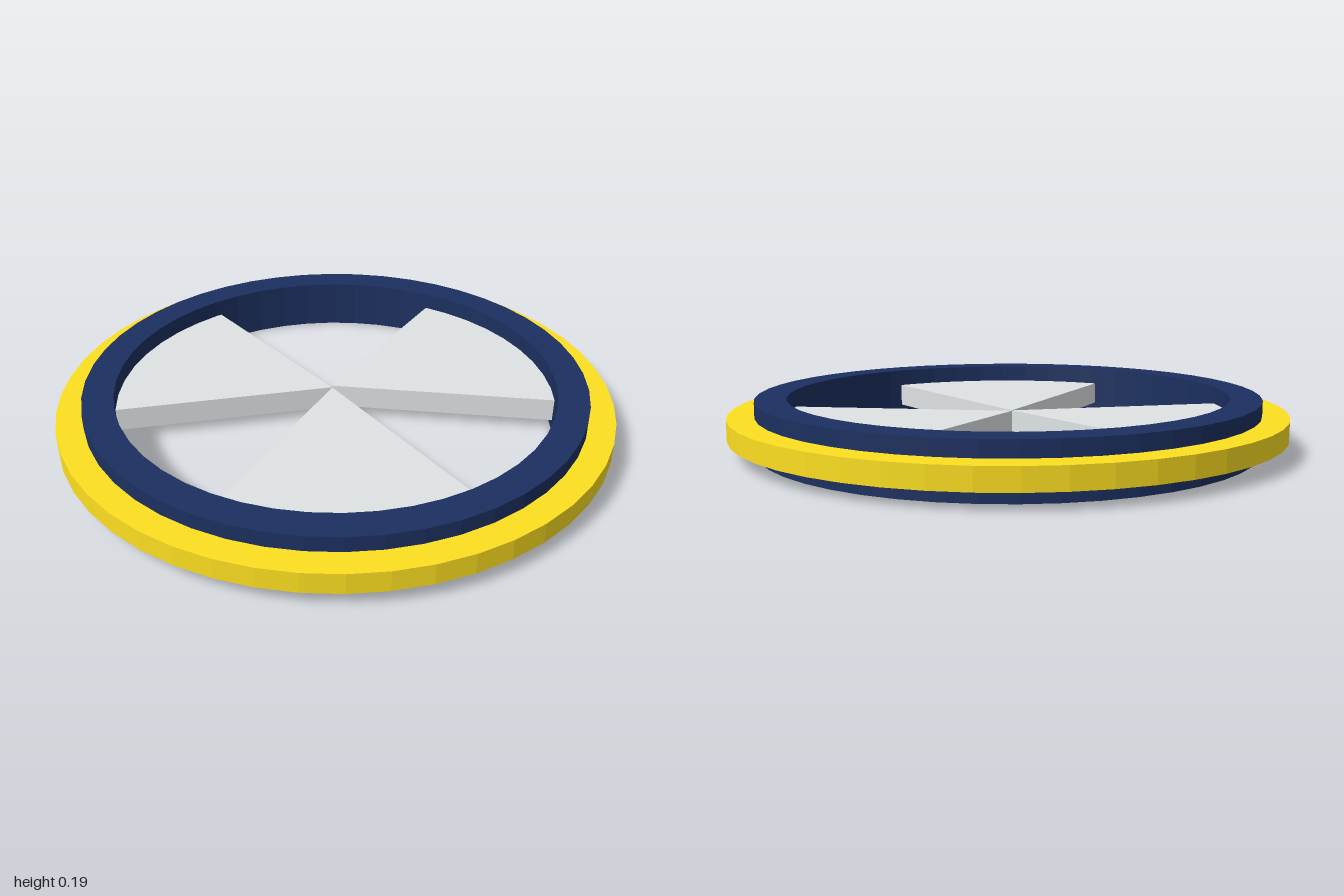
import * as THREE from 'three';

const material = (color) => new THREE.MeshStandardMaterial({ color, flatShading: true });

// Ring of rectangular section, standing between y0 and y1
function ring(name, inner, outer, y0, y1, color) {
  const profile = [[outer, y0], [outer, y1], [inner, y1], [inner, y0], [outer, y0]]
    .map(([r, y]) => new THREE.Vector2(r, y));
  const mesh = new THREE.Mesh(new THREE.LatheGeometry(profile, 48), material(color));
  mesh.name = name;
  return mesh;
}

// Wedge from an apex near the centre out to an arc against the ring wall (x, z plan)
function blade(name, apex, start, end, mat) {
  const radius = 0.797, bottom = 0.037, top = 0.122, steps = 10;
  const a0 = Math.atan2(start[1], start[0]);
  let a1 = Math.atan2(end[1], end[0]);
  if (a1 < a0) a1 += Math.PI * 2;
  const outline = [new THREE.Vector2(...apex)];
  for (let i = 0; i <= steps; i++) {
    const a = a0 + (a1 - a0) * i / steps;
    outline.push(new THREE.Vector2(radius * Math.cos(a), radius * Math.sin(a)));
  }
  const geometry = new THREE.ExtrudeGeometry(new THREE.Shape(outline), { depth: top - bottom, bevelEnabled: false });
  geometry.rotateX(Math.PI / 2);
  geometry.translate(0, top, 0);
  const mesh = new THREE.Mesh(geometry, mat);
  mesh.name = name;
  return mesh;
}

export function createModel() {
  const model = new THREE.Group();
  model.name = 'bladedWheel';

  // Rim and the taller band inside it
  model.add(ring('outerRim', 0.89, 1, 0.056, 0.13, 0xfddf20));
  model.add(ring('innerBand', 0.795, 0.906, 0, 0.185, 0x1c3060));

  // Three wedge blades, meeting slightly behind the centre
  const paleGrey = material(0xdee3e4);
  model.add(blade('rightBlade', [0.005, -0.045], [0.64, -0.48], [0.7, 0.38], paleGrey));
  model.add(blade('frontBlade', [0, -0.033], [0.155, 0.785], [-0.635, 0.475], paleGrey));
  model.add(blade('backBlade', [0, -0.035], [-0.77, -0.205], [-0.185, -0.775], paleGrey));

  return model;
}
